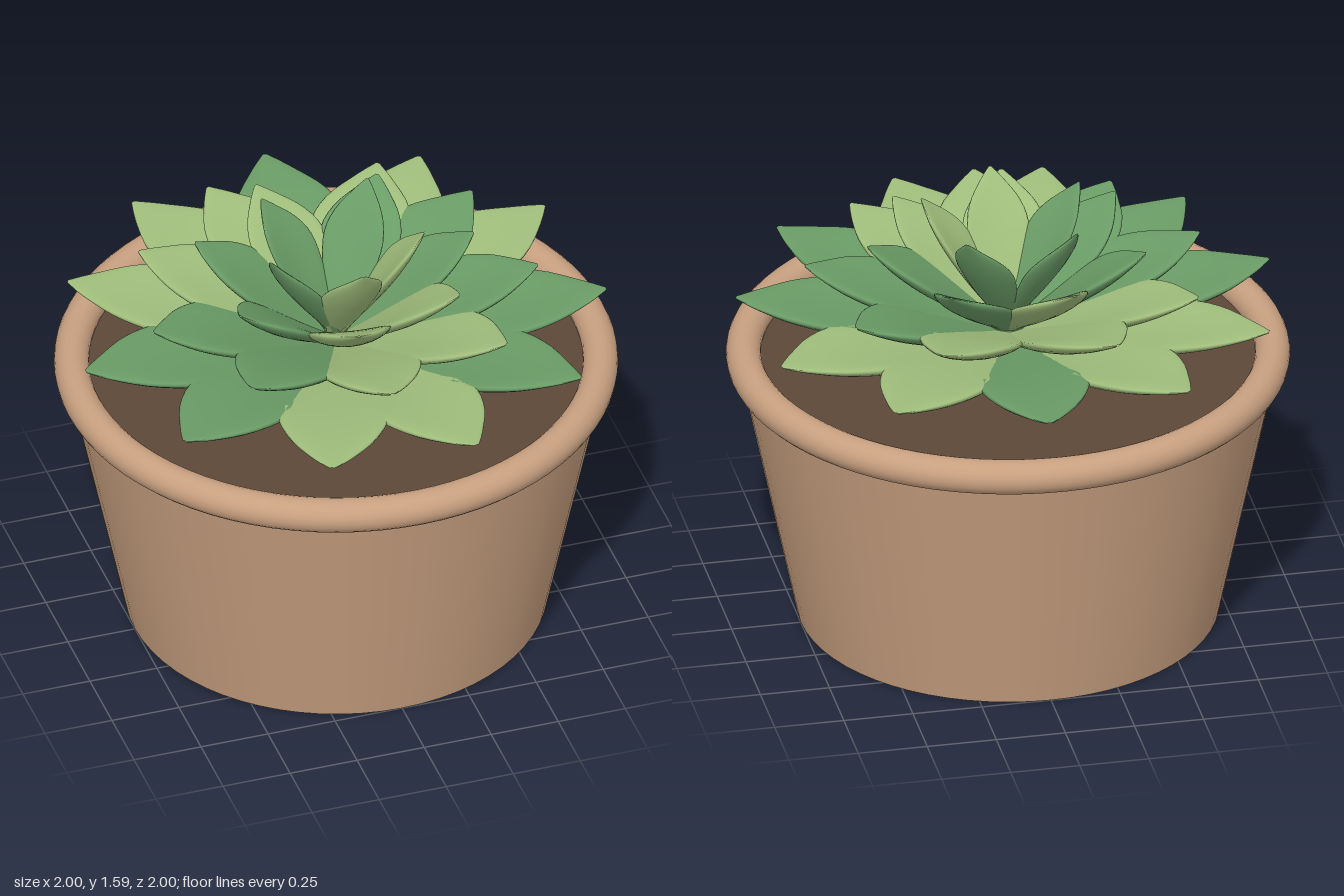
import * as THREE from 'three';
import { ParametricGeometry } from 'three/addons/geometries/ParametricGeometry.js';

const mat = (name, color) => {
  const m = new THREE.MeshStandardMaterial({ color });
  m.name = name;
  return m;
};

// Plump pointed leaf along +z: slightly cupped, rounder underneath
function leafGeometry(length, halfWidth, thickness, cup) {
  const outline = new THREE.SplineCurve([
    [0, 0.3], [0.2, 0.52], [0.42, 0.86], [0.62, 1], [0.78, 0.8], [0.92, 0.36], [1, 0.04],
  ].map(([x, y]) => new THREE.Vector2(x, y)));
  return new ParametricGeometry((u, v, target) => {
    const a = u * Math.PI * 2;
    const p = outline.getPoint(v);
    const w = Math.max(p.y, 0.03);
    const c = Math.cos(a), s = Math.sin(a);
    const depth = thickness * (s > 0 ? 0.8 : 1.2) * Math.pow(w, 0.8);
    target.set(c * w * halfWidth, s * depth + cup * c * c * w * w, p.x * length);
  }, 24, 20);
}

export function createModel() {
  const model = new THREE.Group();
  const clay = mat('clay', 0xc8a080);
  const earth = mat('earth', 0x5c4838);
  const deep = mat('deepGreen', 0x6a9c66);
  const pale = mat('paleGreen', 0xa0be7c);

  const add = (name, geometry, material, y, parent = model) => {
    const mesh = new THREE.Mesh(geometry, material);
    mesh.name = name;
    mesh.position.y = y;
    parent.add(mesh);
    return mesh;
  };

  // Tapered pot, rounded rim and soil
  add('pot', new THREE.CylinderGeometry(0.95, 0.75, 0.96, 64), clay, 0.48);
  const rim = new THREE.TorusGeometry(0.9375, 0.0625, 20, 80);
  rim.rotateX(Math.PI / 2);
  add('rim', rim, clay, 1.0075);
  add('soil', new THREE.CylinderGeometry(0.89, 0.89, 0.05, 64), earth, 0.97);

  // Short stem under the leaves
  add('stem', new THREE.CylinderGeometry(0.06, 0.11, 0.16, 20), deep, 1.06);

  // Leaf rings from outside in; angles run from +x toward +z, d = deep, p = pale
  const rings = [
    { name: 'outerLeaf', reach: 0.965, base: 1.07, tip: 1.232, width: 0.2, thick: 0.034, cup: 0.03,
      angles: [11, 44, 77, 109, 142, 175, 208, 240, 273, 306, 338], tones: 'ddppddppdpp' },
    { name: 'middleLeaf', reach: 0.72, base: 1.085, tip: 1.358, width: 0.182, thick: 0.032, cup: 0.03,
      angles: [11, 51, 92, 132, 172, 212, 249, 300, 330], tones: 'dppddpppd' },
    { name: 'innerLeaf', reach: 0.505, base: 1.1, tip: 1.47, width: 0.148, thick: 0.028, cup: 0.025,
      angles: [3, 48, 99, 150, 206, 254, 305], tones: 'dppddpd' },
    { name: 'heartLeaf', reach: 0.315, base: 1.12, tip: 1.588, width: 0.112, thick: 0.022, cup: 0.025,
      angles: [24, 90, 155, 231, 309], tones: 'ppddd' },
  ];
  const rosette = new THREE.Group();
  rosette.name = 'rosette';
  model.add(rosette);
  for (const r of rings) {
    const rise = r.tip - r.base;
    const geometry = leafGeometry(Math.hypot(r.reach, rise), r.width, r.thick, r.cup);
    r.angles.forEach((deg, i) => {
      const leaf = add(r.name, geometry, r.tones[i] === 'd' ? deep : pale, r.base, rosette);
      leaf.rotation.order = 'YXZ';
      leaf.rotation.y = Math.PI / 2 - THREE.MathUtils.degToRad(deg);
      leaf.rotation.x = -Math.atan2(rise, r.reach);
    });
  }
  return model;
}
